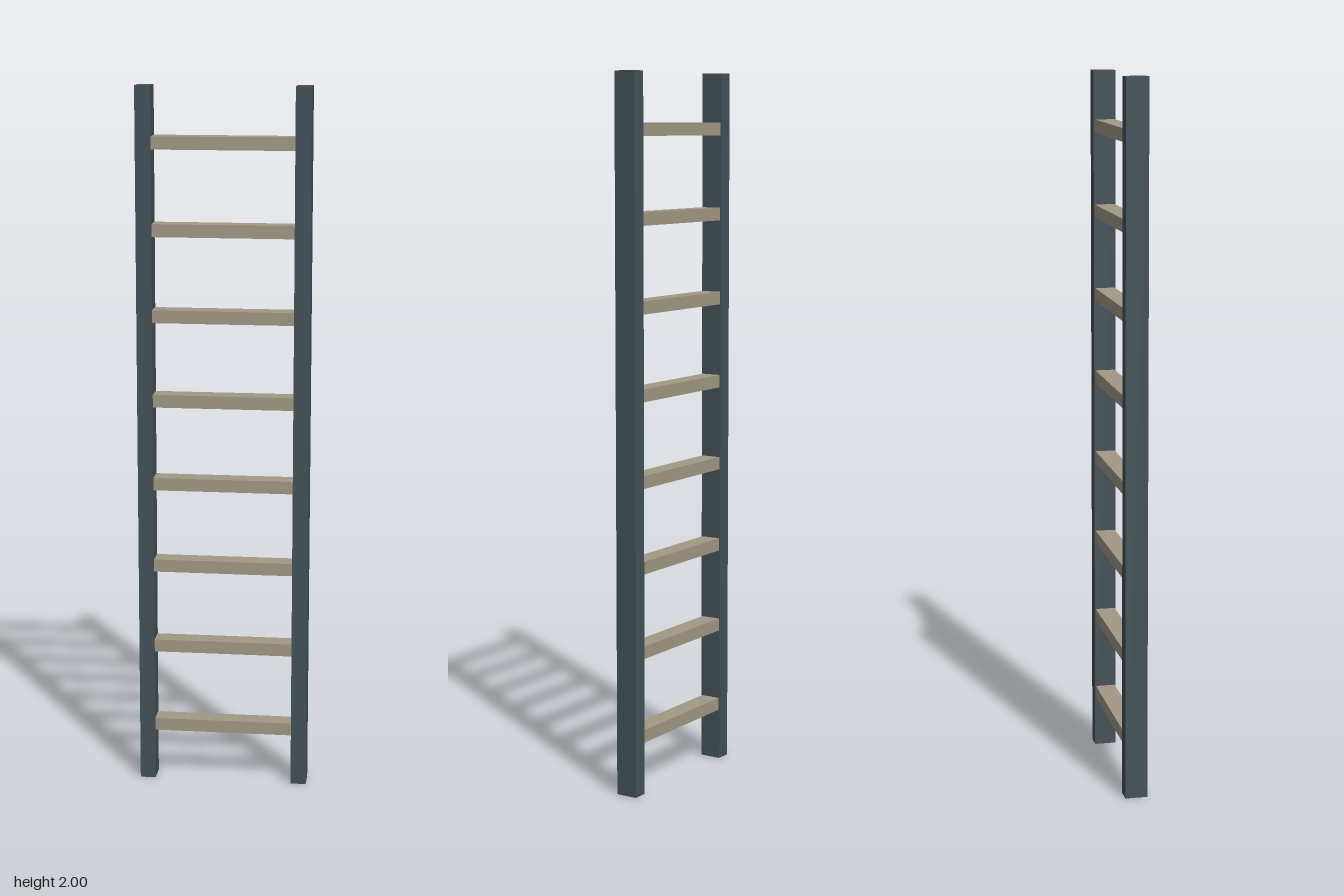
import * as THREE from 'three';

const HEIGHT = 2;
const RAIL = { width: 0.044, depth: 0.063, x: 0.22 };
const RUNG = { count: 8, height: 0.036, depth: 0.057, first: 0.165, spacing: 0.24 };

export function createModel() {
  const ladder = new THREE.Group();
  ladder.name = 'ladder';

  const railMaterial = new THREE.MeshStandardMaterial({ color: 0x435159 });
  const rungMaterial = new THREE.MeshStandardMaterial({ color: 0xa29985 });

  // Upright side rails
  const railGeometry = new THREE.BoxGeometry(RAIL.width, HEIGHT, RAIL.depth);
  for (const side of [1, -1]) {
    const rail = new THREE.Mesh(railGeometry, railMaterial);
    rail.name = side > 0 ? 'leftRail' : 'rightRail';
    rail.position.set(side * RAIL.x, HEIGHT / 2, 0);
    ladder.add(rail);
  }

  // Evenly spaced flat rungs, butted against the rails
  const rungLength = 2 * RAIL.x - RAIL.width;
  const rungGeometry = new THREE.BoxGeometry(rungLength, RUNG.height, RUNG.depth);
  for (let i = 0; i < RUNG.count; i++) {
    const rung = new THREE.Mesh(rungGeometry, rungMaterial);
    rung.name = `rung${i + 1}`;
    rung.position.y = RUNG.first + i * RUNG.spacing;
    ladder.add(rung);
  }

  return ladder;
}
